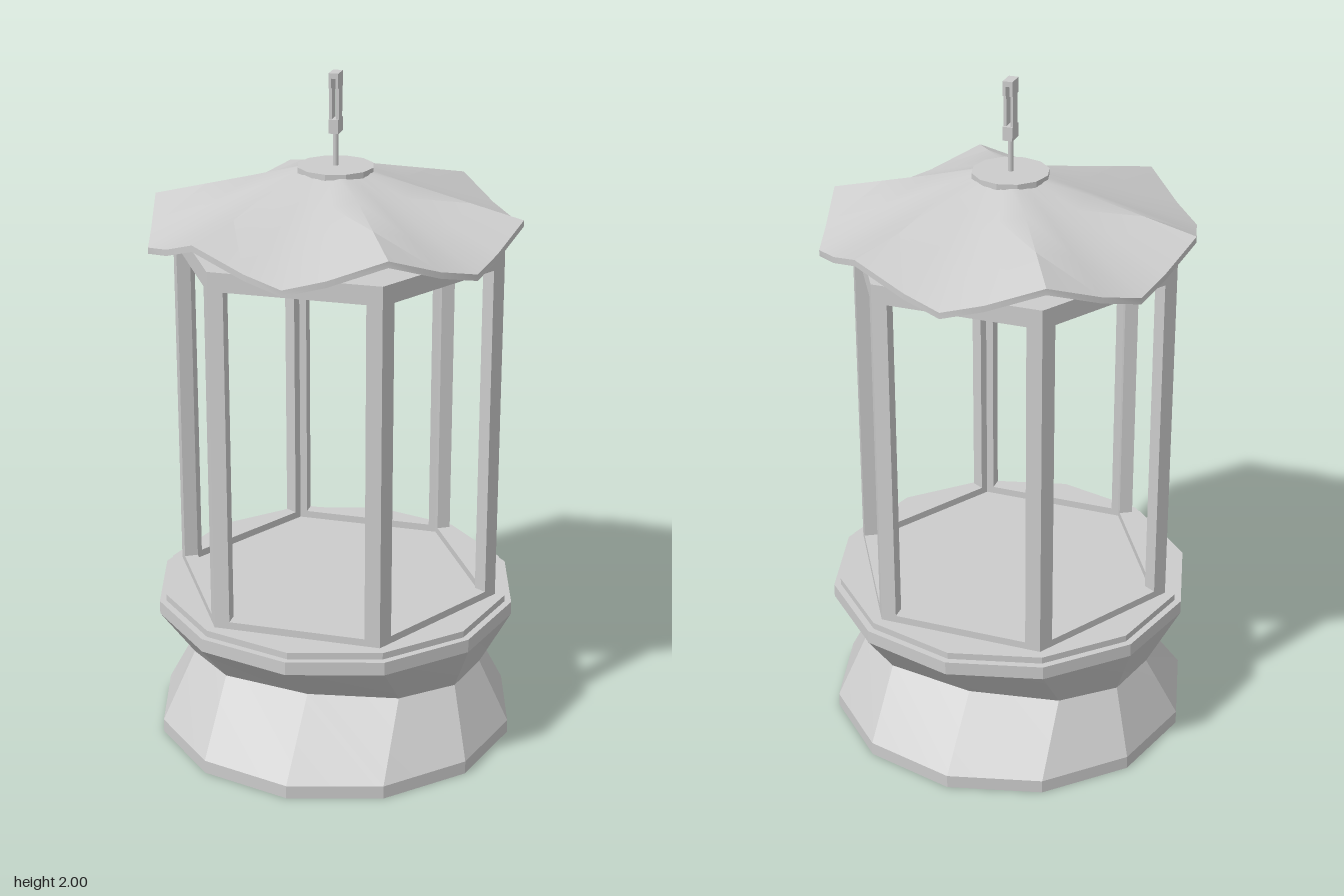
import * as THREE from 'three';
import { toCreasedNormals } from 'three/addons/utils/BufferGeometryUtils.js';

const TAU = Math.PI * 2;

// Skin closed loops of [x, y, z] points, ordered from the top centre outward and down.
function loft(loops, crease) {
  const n = loops[0].length;
  const index = [];
  for (let k = 0; k < loops.length - 1; k++) {
    for (let i = 0; i < n; i++) {
      const a = k * n + i, b = k * n + (i + 1) % n;
      index.push(a, b, a + n, b, b + n, a + n);
    }
  }
  const geometry = new THREE.BufferGeometry();
  geometry.setAttribute('position', new THREE.Float32BufferAttribute(loops.flat(2), 3));
  geometry.setIndex(index);
  return toCreasedNormals(geometry, crease);
}

function ring(r, y, n = 12) {
  return Array.from({ length: n }, (_, i) => {
    const a = i / n * TAU;
    return [r * Math.cos(a), y, r * Math.sin(a)];
  });
}

// Prism with a corner on the x axis
function prism(r, y0, y1, sides) {
  return loft([ring(0, y1, sides), ring(r, y1, sides), ring(r, y0, sides), ring(0, y0, sides)], 0.2);
}

// Rim: twelve straight plan edges, scalloped between high and low corners
function roofRim() {
  const corners = ring(0.54, 0);
  const rim = [];
  for (let i = 0; i < 12; i++) {
    const p = corners[i], q = corners[(i + 1) % 12];
    const high = i % 2 === 0;
    const t = high ? 0.58 : 0.42;
    rim.push([p[0], high ? 1.615 : 1.535, p[2]]);
    rim.push([p[0] + (q[0] - p[0]) * t, 1.56, p[2] + (q[2] - p[2]) * t]);
  }
  return rim;
}

function rect(target, x0, y0, x1, y1) {
  target.moveTo(x0, y0);
  target.lineTo(x1, y0);
  target.lineTo(x1, y1);
  target.lineTo(x0, y1);
  target.closePath();
  return target;
}

export function createModel() {
  const model = new THREE.Group();
  const material = new THREE.MeshStandardMaterial({ color: 0xcccccc });
  const add = (name, geometry, parent = model) => {
    const mesh = new THREE.Mesh(geometry, material);
    mesh.name = name;
    parent.add(mesh);
    return mesh;
  };

  // Base with a waist that is narrower front to back
  const waist = ring(1, 0.22).map(([x, y, z]) => {
    const c = Math.abs(x);
    const wx = c > 0.9 ? 0.445 : c > 0.8 ? 0.405 : c > 0.4 ? 0.265 : 0;
    return [Math.sign(x) * wx, y, z * 0.335 - 0.02];
  });
  add('base', loft([
    ring(0, 0.44), ring(0.54, 0.44), ring(0.54, 0.4), waist,
    ring(0.54, 0.04), ring(0.54, 0), ring(0, 0),
  ], 0.2));
  add('basePlate', prism(0.52, 0.43, 0.46, 12));

  // Six window frames around a hexagon
  const frames = new THREE.Group();
  frames.name = 'windowFrames';
  model.add(frames);
  const outline = rect(new THREE.Shape(), -0.245, 0.45, 0.245, 1.53);
  outline.holes.push(rect(new THREE.Path(), -0.2, 0.482, 0.2, 1.475));
  const frameGeometry = new THREE.ExtrudeGeometry(outline, { depth: 0.04, bevelEnabled: false });
  frameGeometry.translate(0, 0, 0.245 * Math.sqrt(3) - 0.04);
  for (let i = 0; i < 6; i++) {
    add('windowFrame', frameGeometry, frames).rotation.y = i / 6 * TAU;
  }

  // Hexagonal ceiling inside the frames
  add('ceiling', prism(0.47, 1.475, 1.525, 6));

  // Scalloped thin roof
  const rim = roofRim();
  const at = (t, drop) => rim.map(([x, y, z]) =>
    [x * t, 1.73 + (y - 1.73) * (t - 0.15) / 0.85 - drop, z * t]);
  add('roof', loft([
    at(0.15, 0), at(0.43, 0), at(0.72, 0), at(1, 0),
    at(1, 0.018), at(0.72, 0.018), at(0.43, 0.018), at(0.15, 0.018),
  ], 0.7));
  add('roofCap', prism(0.11, 1.708, 1.735, 12));

  // Hanging rod and the narrow loop at its top
  const rod = new THREE.CylinderGeometry(0.008, 0.008, 0.13, 8);
  add('hangingRod', rod).position.y = 1.785;
  const hanger = new THREE.Group();
  hanger.name = 'hangingLoop';
  model.add(hanger);
  for (const side of [-1, 1]) {
    add('loopSide', new THREE.BoxGeometry(0.008, 0.14, 0.036), hanger).position.set(side * 0.01, 1.915, 0);
  }
  for (const [y, h] of [[1.85, 0.04], [1.9925, 0.015]]) {
    add('loopEnd', new THREE.BoxGeometry(0.028, h, 0.05), hanger).position.y = y;
  }
  for (const side of [-1, 1]) {
    add('loopShoulder', new THREE.BoxGeometry(0.008, 0.035, 0.05), hanger).position.set(side * 0.01, 1.975, 0);
  }

  return model;
}
